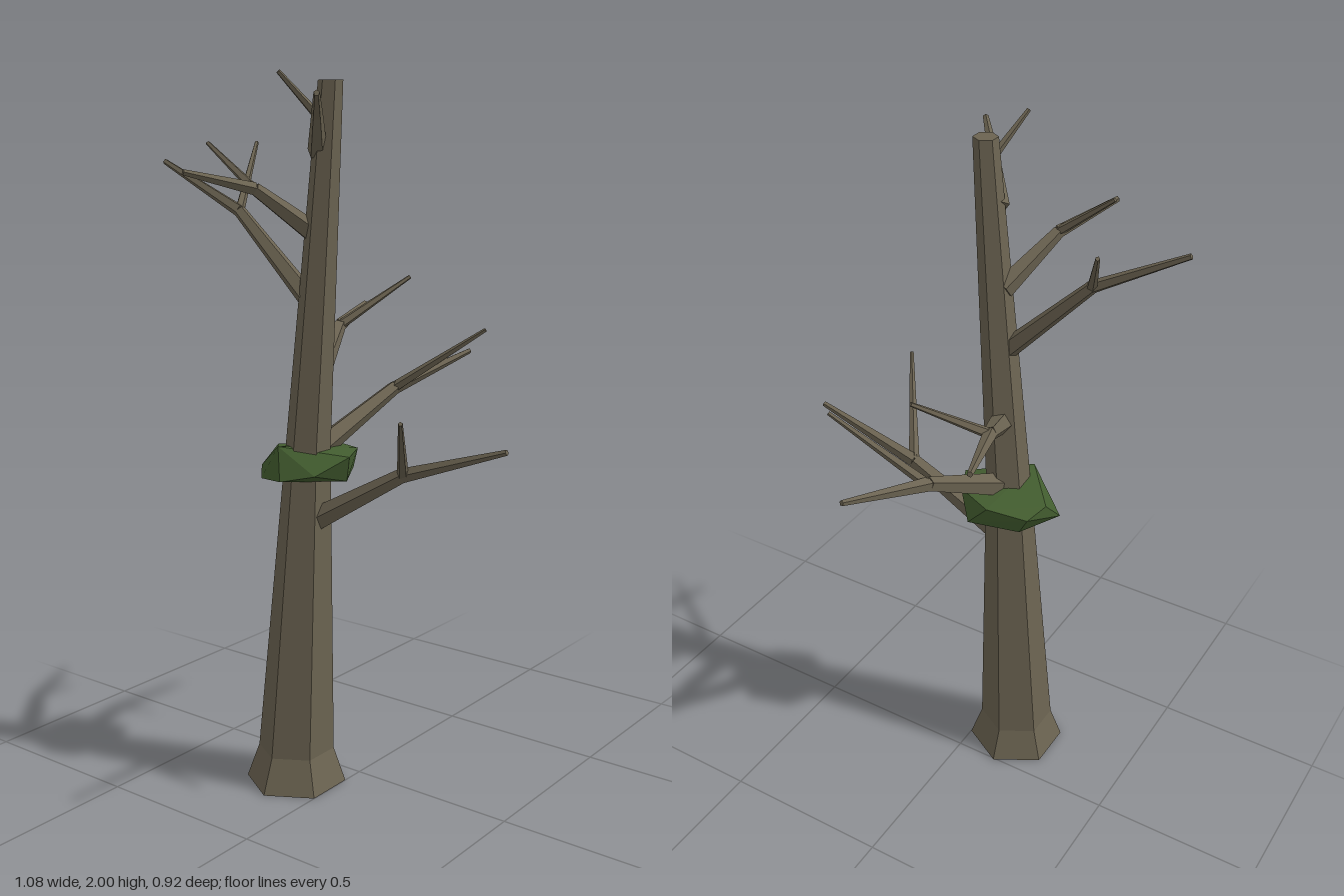
import * as THREE from 'three';
import { ConvexGeometry } from 'three/addons/geometries/ConvexGeometry.js';

const bark = new THREE.MeshStandardMaterial({ color: 0x6b6351, flatShading: true });
bark.name = 'bark';
const moss = new THREE.MeshStandardMaterial({ color: 0x425c2f, flatShading: true });
moss.name = 'moss green';

// Tapered low-poly limb from point a to point b
function limb(name, a, b, r0, r1) {
  const from = new THREE.Vector3(...a);
  const dir = new THREE.Vector3(...b).sub(from);
  const geo = new THREE.CylinderGeometry(r1, r0, dir.length(), 5);
  const mesh = new THREE.Mesh(geo, bark);
  mesh.name = name;
  mesh.position.copy(from).addScaledVector(dir, 0.5);
  mesh.quaternion.setFromUnitVectors(new THREE.Vector3(0, 1, 0), dir.normalize());
  return mesh;
}

// Leaning six-sided trunk with a flared foot: rings are [x, y, z, radius]
function makeTrunk() {
  const rings = [
    [-0.126, 0, 0.14, 0.145],
    [-0.126, 0.1, 0.138, 0.11],
    [-0.08, 1.0, 0.129, 0.063],
    [0.012, 1.98, 0.138, 0.033],
  ];
  const geo = new THREE.CylinderGeometry(1, 1, rings.length - 1, 6, rings.length - 1);
  const p = geo.attributes.position;
  for (let i = 0; i < p.count; i++) {
    const [x, y, z, r] = rings[Math.round(p.getY(i) + (rings.length - 1) / 2)];
    p.setXYZ(i, x + p.getX(i) * r, y, z + p.getZ(i) * r);
  }
  geo.computeVertexNormals();
  const mesh = new THREE.Mesh(geo, bark);
  mesh.name = 'trunk';
  return mesh;
}

// Faceted moss clump wrapped around the trunk
function makeMoss() {
  const points = [
    [-0.23, 0.98, 0.08], [-0.12, 1.01, 0.21], [-0.1, 0.985, -0.026],
    [0.05, 0.985, 0.11], [0.01, 0.99, 0.02], [-0.21, 0.965, 0.01],
    [-0.25, 0.925, 0.13], [-0.09, 0.92, 0.24], [0.0, 0.94, 0.2],
    [-0.2, 0.905, 0.19], [0.025, 0.91, 0.09], [-0.04, 0.92, -0.026],
    [-0.18, 0.91, 0.02],
  ].map((q) => new THREE.Vector3(...q));
  const mesh = new THREE.Mesh(new ConvexGeometry(points), moss);
  mesh.name = 'mossClump';
  return mesh;
}

export function createModel() {
  const tree = new THREE.Group();
  tree.name = 'deadTree';
  tree.add(makeTrunk(), makeMoss());

  // Each branch: root, fork, main tip, side twig tip, root radius
  const branches = [
    ['leftBranch', [-0.09, 0.775, 0.132], [0.226, 0.96, 0.107], [0.536, 1.063, 0.093], [0.388, 1.16, 0.348], 0.036],
    ['backBranch', [-0.078, 0.975, 0.12], [-0.01, 1.13, -0.18], [0.067, 1.21, -0.46], [0.248, 1.31, -0.258], 0.036],
    ['backRightBranch', [-0.06, 1.18, 0.12], [-0.16, 1.305, -0.116], [-0.24, 1.342, -0.347], [-0.03, 1.44, -0.284], 0.034],
    ['rightBranch', [-0.035, 1.375, 0.13], [-0.293, 1.64, 0.157], [-0.536, 1.77, 0.194], [-0.395, 1.822, -0.035], 0.031],
    ['frontBranch', [-0.05, 1.585, 0.13], [-0.128, 1.705, 0.28], [-0.21, 1.75, 0.458], [-0.278, 1.822, 0.293], 0.031],
    ['topBranch', [-0.025, 1.8, 0.148], [0.045, 1.89, 0.235], [0.14, 1.94, 0.354], [-0.005, 1.995, 0.325], 0.027],
  ];
  for (const [name, root, fork, tip, twigTip, r] of branches) {
    const branch = new THREE.Group();
    branch.name = name;
    branch.add(
      limb('branchBase', root, fork, r, r * 0.58),
      limb('branchTip', fork, tip, r * 0.58, 0.008),
      limb('twig', fork, twigTip, r * 0.45, 0.006),
    );
    tree.add(branch);
  }
  return tree;
}
